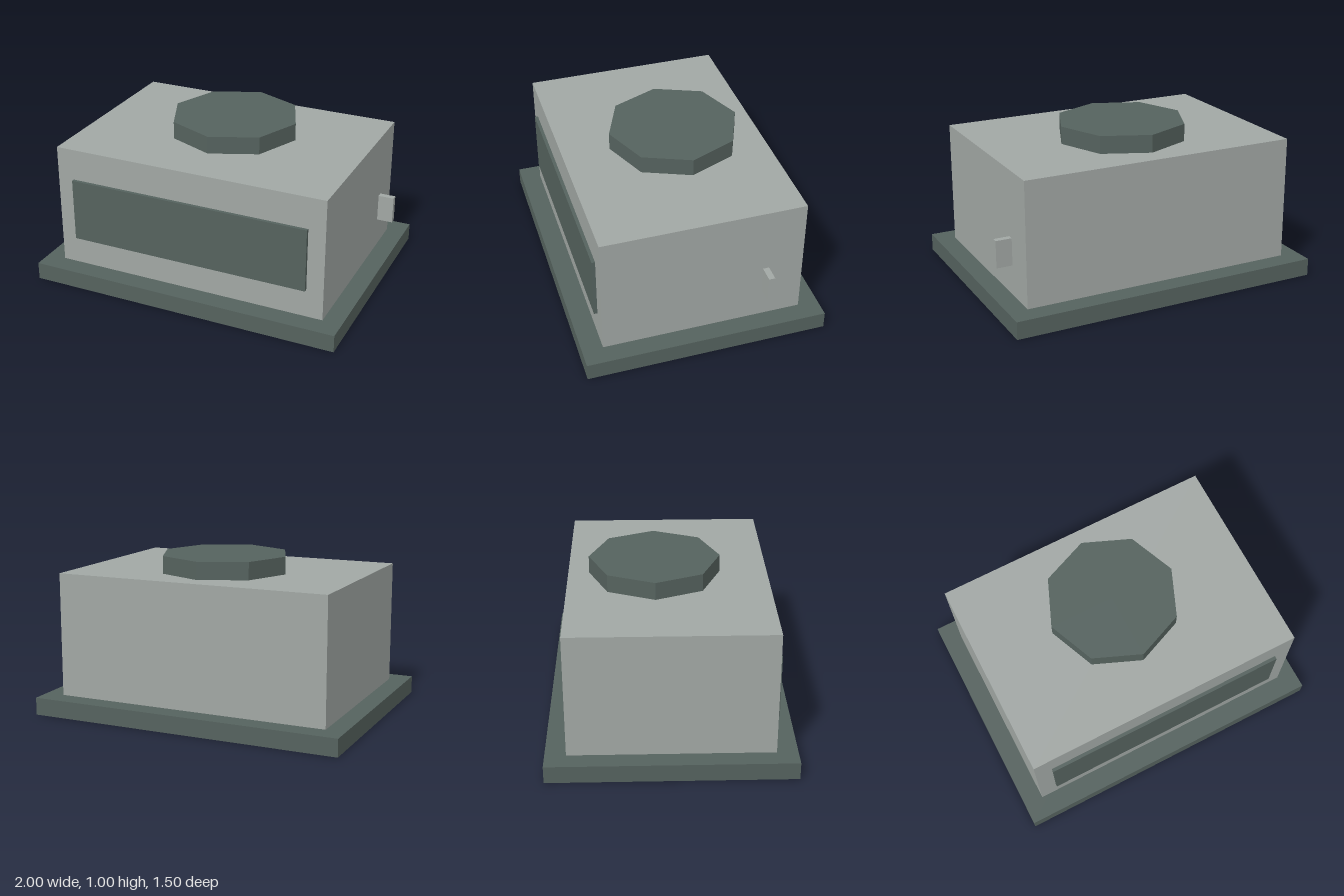
import * as THREE from 'three';

export function createModel() {
  const model = new THREE.Group();

  const lightGrey = new THREE.MeshStandardMaterial({ color: 0xa1a7a4 });
  lightGrey.name = 'lightGrey';
  const darkGrey = new THREE.MeshStandardMaterial({ color: 0x55625e });
  darkGrey.name = 'darkGrey';
  darkGrey.flatShading = true;

  function add(name, geometry, material, x, y, z) {
    const mesh = new THREE.Mesh(geometry, material);
    mesh.name = name;
    mesh.position.set(x, y, z);
    model.add(mesh);
  }

  // Box given by its lower and upper corners
  function addBox(name, material, [x0, y0, z0], [x1, y1, z1]) {
    add(name, new THREE.BoxGeometry(x1 - x0, y1 - y0, z1 - z0), material,
      (x0 + x1) / 2, (y0 + y1) / 2, (z0 + z1) / 2);
  }

  // Base slab and main housing
  addBox('base', darkGrey, [-1, 0, -0.75], [1, 0.11, 0.75]);
  addBox('body', lightGrey, [-0.88, 0.11, -0.622], [0.88, 0.89, 0.622]);

  // Raised panel on the front and small tab on the left side
  addBox('frontPanel', darkGrey, [-0.773, 0.29, 0.61], [0.773, 0.69, 0.643]);
  addBox('sideTab', lightGrey, [0.87, 0.302, -0.408], [0.98, 0.473, -0.37]);

  // Eight-sided cap on the roof, points along the axes
  add('roofCap', new THREE.CylinderGeometry(0.408, 0.408, 0.11, 8), darkGrey, 0, 0.945, -0.083);

  return model;
}
